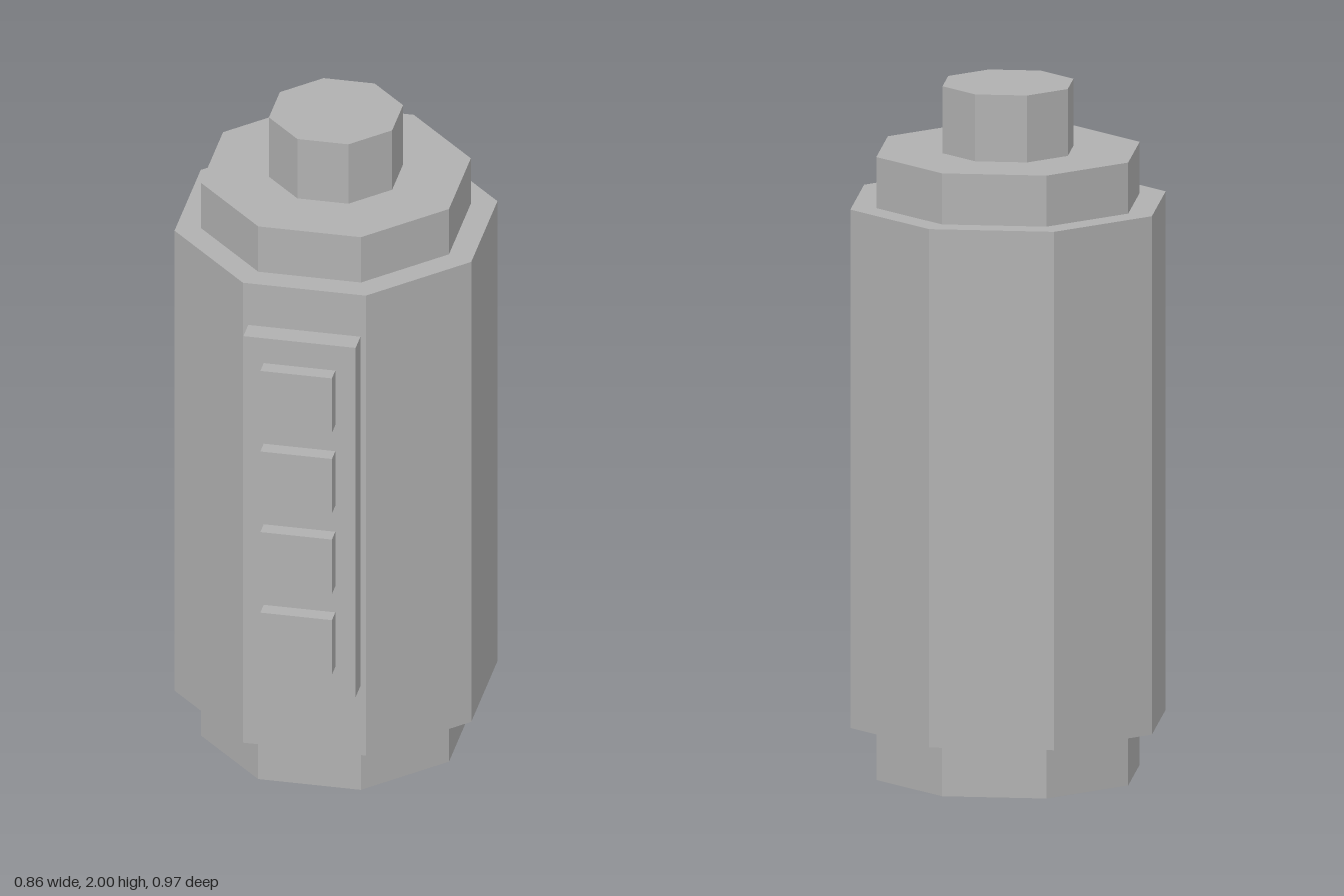
import * as THREE from 'three';

export function createModel() {
  const model = new THREE.Group();
  const gray = new THREE.MeshStandardMaterial({ color: 0xb0b0b0 });
  gray.name = 'gray';

  const AXIS_Z = -0.056;

  function add(name, geometry, x, y, z) {
    const mesh = new THREE.Mesh(geometry, gray);
    mesh.name = name;
    mesh.position.set(x, y, z);
    model.add(mesh);
  }

  // Octagonal prism with a flat side facing the front
  function octagon(name, apothem, y0, y1) {
    const r = apothem / Math.cos(Math.PI / 8);
    const g = new THREE.CylinderGeometry(r, r, y1 - y0, 8, 1, false, Math.PI / 8).toNonIndexed();
    g.computeVertexNormals(); // crisp facets
    add(name, g, 0, (y0 + y1) / 2, AXIS_Z);
  }

  function block(name, width, y0, y1, z0, z1) {
    add(name, new THREE.BoxGeometry(width, y1 - y0, z1 - z0), 0, (y0 + y1) / 2, (z0 + z1) / 2);
  }

  // Stepped canister
  octagon('base', 0.36, 0, 0.155);
  octagon('body', 0.431, 0.155, 1.658);
  octagon('collar', 0.36, 1.658, 1.806);
  octagon('topKnob', 0.179, 1.806, 2);

  // Front panel with a column of four buttons
  block('frontPanel', 0.326, 0.381, 1.522, 0.375, 0.441);
  for (let i = 0; i < 4; i++) {
    const y = 0.562 + i * 0.2633;
    block('button' + (i + 1), 0.208, y - 0.089, y + 0.089, 0.441, 0.487);
  }

  return model;
}
